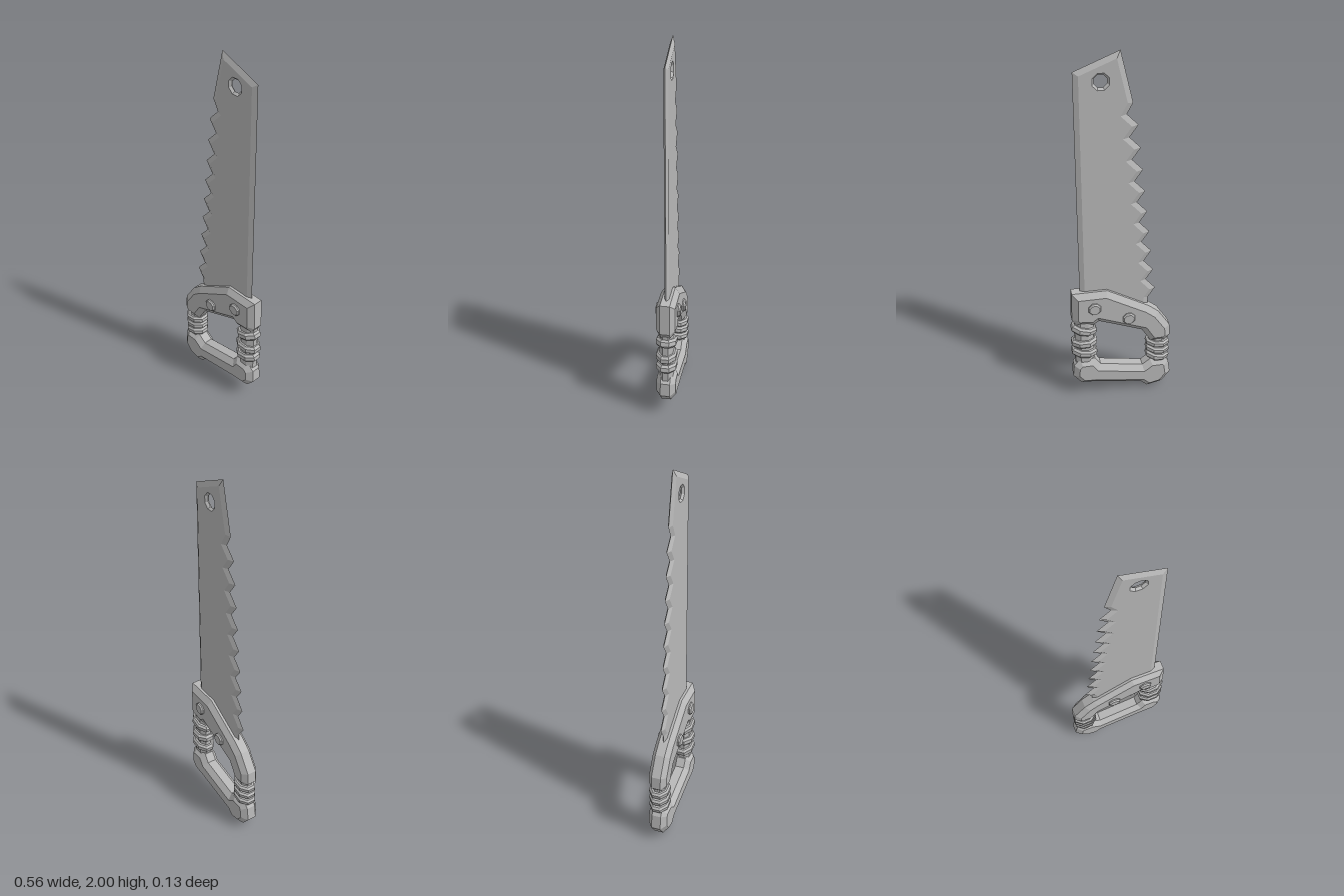
import * as THREE from 'three';

const V = (x, y) => new THREE.Vector2(x, y);
const outline = (pairs) => pairs.map(([x, y]) => V(x, y));

// Moves a counter-clockwise outline inwards by d, with mitred corners
function inset(points, d) {
  const n = points.length;
  return points.map((p, i) => {
    const a = p.clone().sub(points[(i + n - 1) % n]).normalize();
    const b = points[(i + 1) % n].clone().sub(p).normalize();
    const k = d / Math.max(0.35, 1 + a.dot(b));
    return V(p.x - (a.y + b.y) * k, p.y + (a.x + b.x) * k);
  });
}

// Plate with chamfered rims. Each loop is { edge, flat }: the rim at zEdge and
// the face border at zFlat. The first loop is the outside, the rest are holes.
function bevelledPlate(loops, zEdge, zFlat) {
  const pos = [];
  const put = (p, z) => pos.push(p.x, p.y, z);
  for (const { edge, flat } of loops) {
    const rings = [[flat, -zFlat], [edge, -zEdge], [edge, zEdge], [flat, zFlat]];
    for (let r = 0; r < 3; r++) {
      if (r === 1 && zEdge === 0) continue;
      const [a, za] = rings[r], [b, zb] = rings[r + 1];
      for (let i = 0; i < a.length; i++) {
        const j = (i + 1) % a.length;
        put(a[i], za); put(a[j], za); put(b[j], zb);
        put(a[i], za); put(b[j], zb); put(b[i], zb);
      }
    }
  }
  const flats = loops.map((l) => l.flat);
  const all = flats.flat();
  for (const [a, b, c] of THREE.ShapeUtils.triangulateShape(flats[0], flats.slice(1))) {
    put(all[a], zFlat); put(all[b], zFlat); put(all[c], zFlat);
    put(all[c], -zFlat); put(all[b], -zFlat); put(all[a], -zFlat);
  }
  const g = new THREE.BufferGeometry();
  g.setAttribute('position', new THREE.Float32BufferAttribute(pos, 3));
  g.computeVertexNormals();
  return g;
}

// Clockwise octagon for the hole
const octagon = (x, y, r) => Array.from({ length: 8 }, (_, i) => {
  const t = -(i + 0.5) * Math.PI / 4;
  return V(x + r * Math.cos(t), y + r * Math.sin(t));
});

export function createModel() {
  const model = new THREE.Group();
  model.name = 'handSaw';
  const grey = new THREE.MeshStandardMaterial({ color: 0xb8b8b8, flatShading: true });
  grey.name = 'grey';
  const add = (name, geometry, parent = model) => {
    const mesh = new THREE.Mesh(geometry, grey);
    mesh.name = name;
    parent.add(mesh);
    return mesh;
  };

  // Blade: straight back, slanted tip, nine teeth and a hanging hole
  const blade = [[0.222, 0.62], [0.222, 1.91], [0, 2], [-0.06, 1.745]];
  for (let i = 0; i <= 9; i++) {
    blade.push([-0.03 - 0.0133 * i, 1.69 - 0.1193 * i]);
    if (i < 9) blade.push([-0.087 - 0.0126 * i, 1.632 - 0.1196 * i]);
  }
  blade.push([-0.15, 0.5]);
  const bladeEdge = outline(blade);
  add('blade', bevelledPlate([
    { edge: bladeEdge, flat: inset(bladeEdge, 0.026) },
    { edge: octagon(0.093, 1.86, 0.033), flat: octagon(0.093, 1.86, 0.044) },
  ], 0, 0.0116));

  // Upper and lower halves of the handle
  const upper = outline([
    [0.077, 0.705], [-0.15, 0.575], [-0.205, 0.53], [-0.27, 0.43], [-0.275, 0.36],
    [-0.245, 0.33], [-0.165, 0.33], [-0.145, 0.365], [-0.115, 0.415],
    [0.125, 0.51], [0.15, 0.49], [0.25, 0.5], [0.272, 0.535], [0.267, 0.705],
  ]);
  const lower = outline([
    [-0.272, 0.165], [-0.283, 0.085], [-0.235, 0.02], [-0.15, 0], [-0.113, 0.035],
    [0.15, 0.078], [0.23, 0.085], [0.275, 0.14], [0.27, 0.215], [0.235, 0.25],
    [0.15, 0.25], [0.12, 0.205], [-0.12, 0.16], [-0.165, 0.195], [-0.25, 0.195],
  ]);
  add('upperHandle', bevelledPlate([{ edge: upper, flat: inset(upper, 0.032) }], 0.025, 0.049));
  add('lowerHandle', bevelledPlate([{ edge: lower, flat: inset(lower, 0.032) }], 0.025, 0.052));

  // Narrow grips, each wrapped with slanted bands
  const grips = [
    { name: 'rightGrip', x: -0.208, y0: 0.13, y1: 0.4, r: 0.046, band: 0.065, h: 0.038,
      wraps: [[0.215, 0.2], [0.262, 0.17], [0.308, 0.12]] },
    { name: 'leftGrip', x: 0.206, y0: 0.2, y1: 0.56, r: 0.053, band: 0.07, h: 0.046,
      wraps: [[0.3, 0.16], [0.368, 0], [0.455, 0.28]] },
  ];
  for (const { name, x, y0, y1, r, band, h, wraps } of grips) {
    const grip = new THREE.Group();
    grip.name = name;
    grip.position.x = x;
    model.add(grip);
    const core = add('gripCore', new THREE.CylinderGeometry(r, r, y1 - y0, 8).rotateY(Math.PI / 8), grip);
    core.position.y = (y0 + y1) / 2;
    core.scale.set(1.05, 1, 0.038 / r);
    const profile = outline([
      [r * 0.7, -h / 2], [band * 0.9, -h / 2], [band * 1.08, -h / 4],
      [band * 1.08, h / 4], [band * 0.9, h / 2], [r * 0.7, h / 2],
    ]);
    for (const [y, tilt] of wraps) {
      const wrap = add('gripWrap', new THREE.LatheGeometry(profile, 8).rotateY(Math.PI / 8), grip);
      wrap.position.y = y;
      wrap.rotation.z = tilt;
      wrap.scale.z = 0.053 / band;
    }
  }

  // Bolts running through the handle
  const boltProfile = outline([
    [0, -0.064], [0.029, -0.064], [0.036, -0.056], [0.036, 0.056], [0.029, 0.064], [0, 0.064],
  ]);
  for (const [x, y] of [[0.15, 0.612], [-0.036, 0.524]]) {
    const bolt = add('bolt', new THREE.LatheGeometry(boltProfile, 8).rotateY(Math.PI / 8).rotateX(Math.PI / 2));
    bolt.position.set(x, y, 0);
  }
  return model;
}
